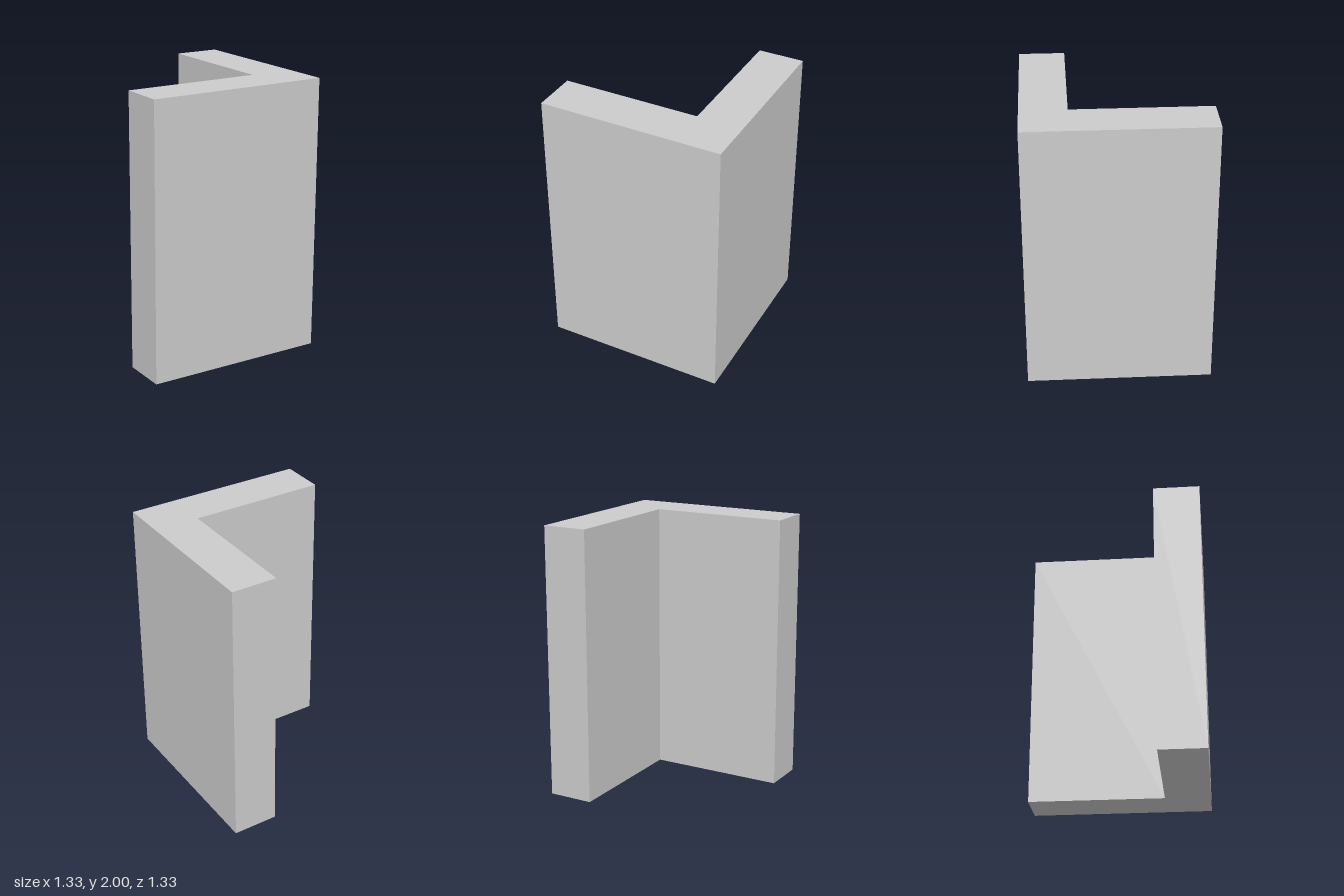
import * as THREE from 'three';

const HEIGHT = 2;
const OUTER = 2 / 3; // half the footprint
const INNER = 1 / 3; // distance of the inner faces from the centre

export function createModel() {
  const group = new THREE.Group();
  group.name = 'cornerWall';

  // L-shaped footprint, drawn as (x, -z)
  const footprint = new THREE.Shape([
    [-OUTER, -OUTER],
    [OUTER, -OUTER],
    [OUTER, OUTER],
    [INNER, OUTER],
    [INNER, -INNER],
    [-OUTER, -INNER],
  ].map(([x, y]) => new THREE.Vector2(x, y)));

  // Raise the footprint to full height
  const geometry = new THREE.ExtrudeGeometry(footprint, { depth: HEIGHT, bevelEnabled: false });
  geometry.rotateX(-Math.PI / 2);

  const material = new THREE.MeshStandardMaterial({ color: 0xcccccc, flatShading: true });
  const wall = new THREE.Mesh(geometry, material);
  wall.name = 'wall';
  group.add(wall);
  return group;
}
